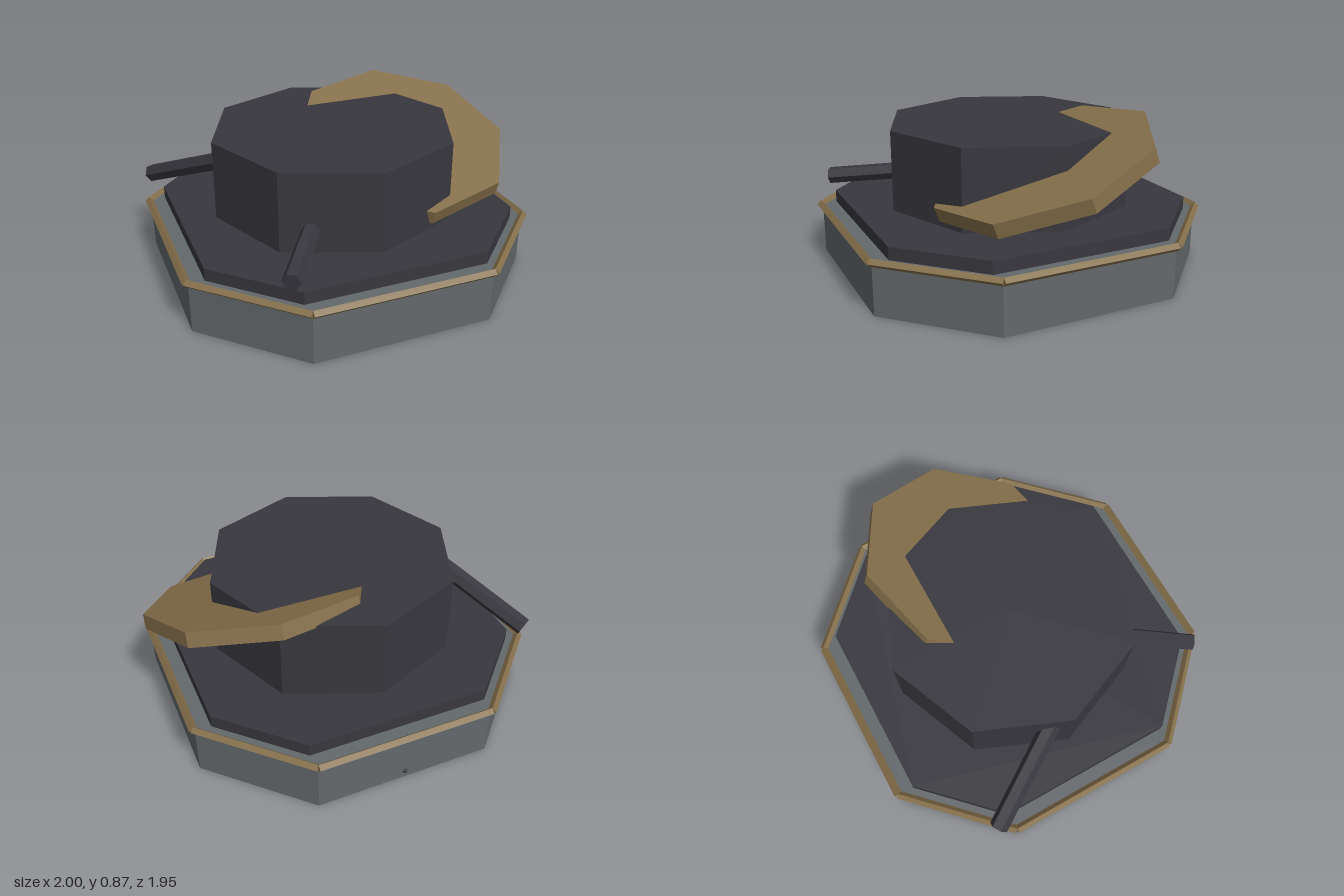
import * as THREE from 'three';

const CX = -0.027; // centre of the base and drum

function material(name, color) {
  const m = new THREE.MeshStandardMaterial({ color });
  m.name = name;
  m.flatShading = true;
  return m;
}

// Corners of a square with cut corners, going round in the xz plane
function octagon(half, corner) {
  return [
    [corner, half], [half, corner], [half, -corner], [corner, -half],
    [-corner, -half], [-half, -corner], [-half, corner], [-corner, half],
  ].map(([x, z]) => new THREE.Vector2(x, z));
}

// Upright slab with an octagonal outline
function slab(half, corner, bottom, top) {
  const g = new THREE.ExtrudeGeometry(new THREE.Shape(octagon(half, corner)), {
    depth: top - bottom, bevelEnabled: false,
  });
  g.rotateX(-Math.PI / 2);
  g.translate(CX, bottom, 0);
  return g;
}

export function createModel() {
  const model = new THREE.Group();
  model.name = 'turret';
  const grey = material('grey', 0x63686b);
  const dark = material('charcoal', 0x38373e);
  const brass = material('brass', 0x846f4a);

  function add(name, geometry, mat, x = 0, y = 0, z = 0) {
    const mesh = new THREE.Mesh(geometry, mat);
    mesh.name = name;
    mesh.position.set(x, y, z);
    model.add(mesh);
    return mesh;
  }

  // Stepped base
  add('base', slab(0.943, 0.475, 0, 0.282), grey);
  add('deck', slab(0.862, 0.487, 0.28, 0.35), dark);

  // Trim bars along the eight upper edges
  const corners = octagon(0.952, 0.478);
  corners.forEach((a, i) => {
    const b = corners[(i + 1) % 8];
    const dx = b.x - a.x, dz = b.y - a.y;
    const bar = add('trimBar', new THREE.CylinderGeometry(0.022, 0.022, Math.hypot(dx, dz), 4),
      brass, CX + (a.x + b.x) / 2, 0.282, (a.y + b.y) / 2);
    bar.rotation.set(0, Math.atan2(-dz, dx), Math.PI / 2);
  });

  // Drum
  add('drum', new THREE.CylinderGeometry(0.675, 0.675, 0.435, 8), dark, CX, 0.5675, 0);

  // Tilted plate cutting through the drum
  const tilt = THREE.MathUtils.degToRad(20);
  const plate = add('tiltedPlate',
    new THREE.CylinderGeometry(0.61, 0.61, 0.08, 8, 1, false, THREE.MathUtils.degToRad(-7.3)),
    brass, 0.392, 0.624, -0.01);
  plate.rotation.x = tilt;

  // Barrels running from inside the drum to their muzzles
  function barrel(muzzle, root, radius) {
    const dir = new THREE.Vector3().subVectors(root, muzzle);
    const mid = new THREE.Vector3().addVectors(root, muzzle).multiplyScalar(0.5);
    const mesh = add('barrel', new THREE.CylinderGeometry(radius, radius, dir.length(), 6),
      dark, mid.x, mid.y, mid.z);
    mesh.quaternion.setFromUnitVectors(new THREE.Vector3(0, 1, 0), dir.normalize());
  }
  barrel(new THREE.Vector3(-0.577, 0.425, 0.872), new THREE.Vector3(-0.3, 0.48, 0.44), 0.047);
  barrel(new THREE.Vector3(-0.935, 0.413, -0.567), new THREE.Vector3(-0.62, 0.65, -0.065), 0.05);

  // Small stud on the back of the base
  add('stud', new THREE.SphereGeometry(0.013, 8, 6), dark, CX, 0.042, -0.943);

  return model;
}
